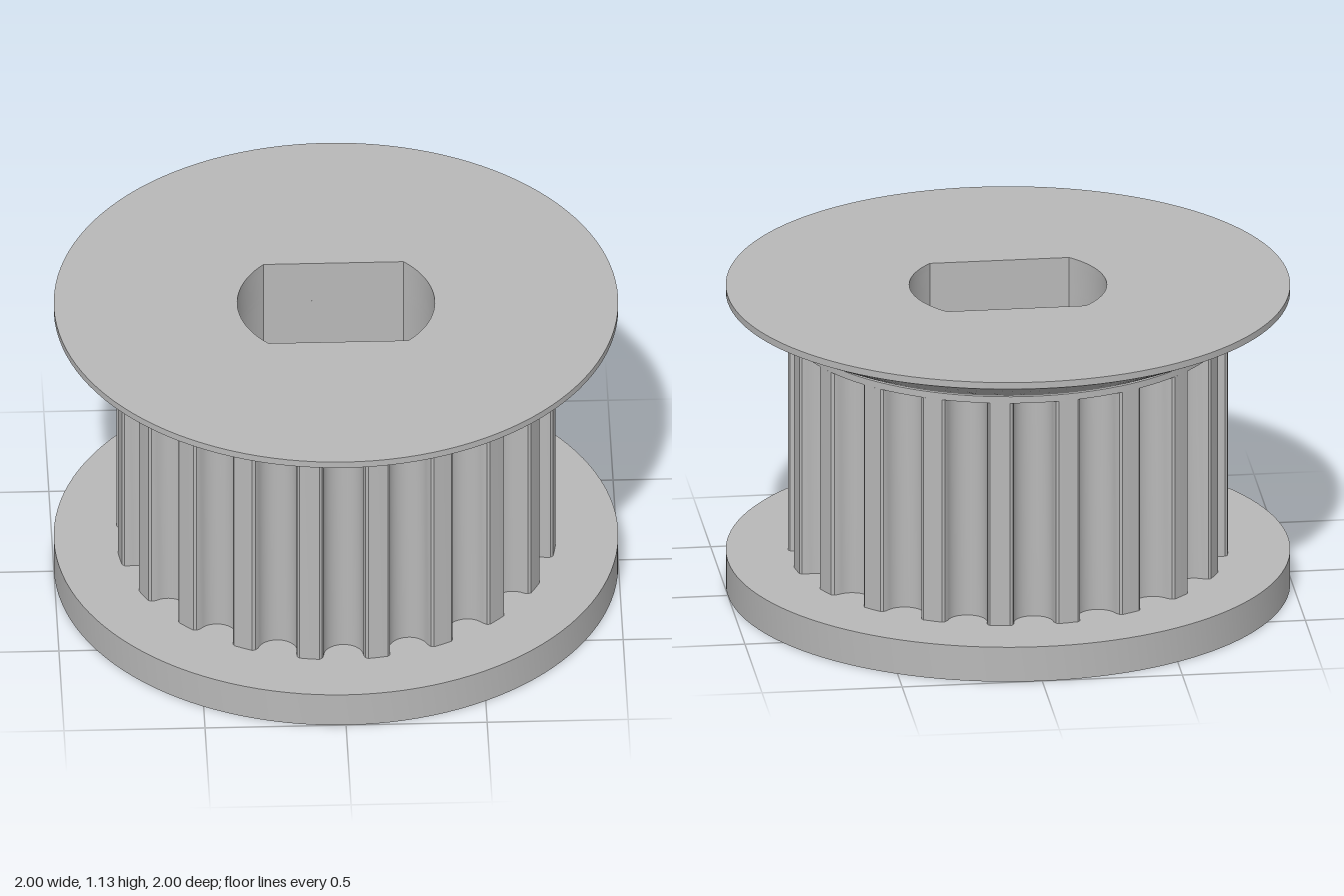
import * as THREE from 'three';
import { toCreasedNormals } from 'three/addons/utils/BufferGeometryUtils.js';

const TEETH = 20;
const HUB_R = 0.78;
const RIM_R = 1;

// Points of a full circle
function circle(radius, n = 120) {
  return Array.from({ length: n }, (_, i) => {
    const a = (i / n) * Math.PI * 2;
    return new THREE.Vector2(radius * Math.cos(a), radius * Math.sin(a));
  });
}

// Round shaft bore with two flats facing front and back
function doubleFlatBore(radius = 0.35, flat = 0.247, n = 24) {
  const half = Math.asin(flat / radius);
  const points = [];
  for (const side of [0, Math.PI]) {
    for (let i = 0; i <= n; i++) {
      const a = side - half + (2 * half * i) / n;
      points.push(new THREE.Vector2(radius * Math.cos(a), radius * Math.sin(a)));
    }
  }
  return points;
}

// Hub outline with rounded belt grooves
function toothedOutline() {
  const grooveR = 0.071, centreR = HUB_R - 0.025;
  const lipR = Math.sqrt(HUB_R ** 2 - 0.087 ** 2);
  const groove = [[-0.087, lipR], [-0.077, HUB_R - 0.011]];
  for (let i = 0; i <= 14; i++) {
    const t = Math.PI + (Math.PI * i) / 14;
    groove.push([grooveR * Math.cos(t), centreR + grooveR * Math.sin(t)]);
  }
  groove.push([0.077, HUB_R - 0.011], [0.087, lipR], );
  const points = [];
  for (let k = 0; k < TEETH; k++) {
    const a = (k / TEETH) * Math.PI * 2, c = Math.cos(a), s = Math.sin(a);
    for (const [u, r] of groove) points.push(new THREE.Vector2(r * c - u * s, r * s + u * c));
    // middle of the land between two grooves
    const m = a + Math.PI / TEETH;
    points.push(new THREE.Vector2(HUB_R * Math.cos(m), HUB_R * Math.sin(m)));
  }
  return points;
}

// Upright slab from y0 to y1 with a hole; the lower outer edge can be drawn in to a smaller radius
function slab(outline, hole, y0, y1, lowerRadius) {
  const shape = new THREE.Shape(outline);
  shape.holes.push(new THREE.Path(hole));
  const geometry = new THREE.ExtrudeGeometry(shape, { depth: y1 - y0, bevelEnabled: false });
  geometry.rotateX(-Math.PI / 2);
  if (lowerRadius) {
    const p = geometry.attributes.position;
    for (let i = 0; i < p.count; i++) {
      const r = Math.hypot(p.getX(i), p.getZ(i));
      if (p.getY(i) < 1e-4 && r > 0.5) {
        p.setX(i, (p.getX(i) * lowerRadius) / r);
        p.setZ(i, (p.getZ(i) * lowerRadius) / r);
      }
    }
  }
  geometry.translate(0, y0, 0);
  return toCreasedNormals(geometry, 0.45);
}

export function createModel() {
  const model = new THREE.Group();
  model.name = 'timingPulley';
  const metal = new THREE.MeshStandardMaterial({ color: 0xb8b8b8 });
  metal.name = 'grey metal';

  const add = (name, geometry) => {
    const mesh = new THREE.Mesh(geometry, metal);
    mesh.name = name;
    model.add(mesh);
  };

  const bore = doubleFlatBore();
  // Lower flange is an open ring, leaving a round recess under the hub
  add('lowerFlange', slab(circle(RIM_R), circle(0.444), 0, 0.13));
  add('toothedHub', slab(toothedOutline(), bore, 0.13, 0.97));
  add('collar', slab(circle(HUB_R), bore, 0.97, 0.995));
  // Upper flange flares out to a thin flat rim
  add('upperFlangeCone', slab(circle(RIM_R), bore, 0.995, 1.105, 0.77));
  add('upperFlangeRim', slab(circle(RIM_R), bore, 1.105, 1.13));
  return model;
}
